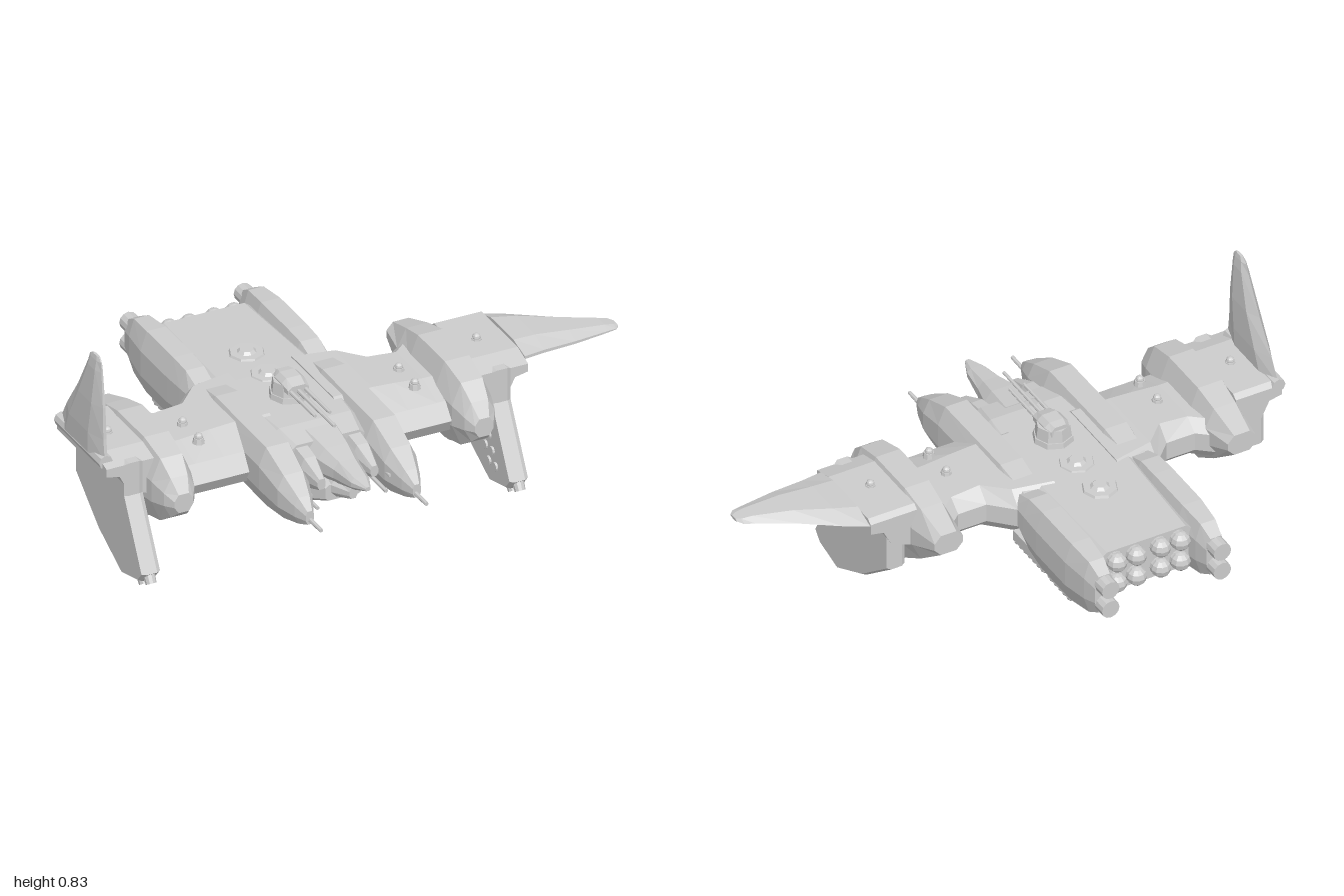
import * as THREE from 'three';

const CX = -0.185; // hull centre line; the two outer wings are posed differently

const grey = new THREE.MeshStandardMaterial({ color: 0xcccccc, flatShading: true });
grey.name = 'hull grey';

const V = (x, y, z) => new THREE.Vector3(x, y, z);

// Closed solid through equal-length rings, with end caps, oriented outward
function loft(rings) {
  const tris = [];
  const n = rings[0].length;
  for (let i = 0; i < rings.length - 1; i++) {
    for (let j = 0; j < n; j++) {
      const k = (j + 1) % n;
      const a = rings[i][j], b = rings[i][k], c = rings[i + 1][k], d = rings[i + 1][j];
      tris.push([a, b, c], [a, c, d]);
    }
  }
  const first = rings[0], last = rings[rings.length - 1];
  for (let j = 1; j < n - 1; j++) {
    tris.push([first[0], first[j + 1], first[j]], [last[0], last[j], last[j + 1]]);
  }
  let volume = 0;
  for (const [a, b, c] of tris) volume += a.dot(b.clone().cross(c));
  const pos = [];
  for (const [a, b, c] of tris) for (const p of volume < 0 ? [a, c, b] : [a, b, c]) pos.push(p.x, p.y, p.z);
  const g = new THREE.BufferGeometry();
  g.setAttribute('position', new THREE.Float32BufferAttribute(pos, 3));
  g.computeVertexNormals();
  return g;
}

// Chamfered box section: [z, bottom, top, halfWidth]
function pod(u, sections, cut = 0.4) {
  return loft(sections.map(([z, y0, y1, w]) => {
    const a = w * (1 - cut), h = (y1 - y0) * cut * 0.75;
    return [[a, y0], [w, y0 + h], [w, y1 - h], [a, y1], [-a, y1], [-w, y1 - h], [-w, y0 + h], [-a, y0]]
      .map(([x, y]) => V(u + x, y, z));
  }));
}

// Section in the z-y plane placed at span u
const rib = (u, pts) => pts.map(([z, y]) => V(u, y, z));

function rod(r0, r1, from, to, sides = 10) {
  const d = to.clone().sub(from);
  const g = new THREE.CylinderGeometry(r1, r0, d.length(), sides);
  g.applyQuaternion(new THREE.Quaternion().setFromUnitVectors(V(0, 1, 0), d.clone().normalize()));
  const m = from.clone().add(to).multiplyScalar(0.5);
  return g.translate(m.x, m.y, m.z);
}

const ball = (r, x, y, z) => new THREE.SphereGeometry(r, 10, 6).translate(x, y, z);
const box = (w, h, d, x, y, z) => new THREE.BoxGeometry(w, h, d).translate(x, y, z);

// Reflected copy with corner order restored
function mirror(geo) {
  const g = geo.index ? geo.toNonIndexed() : geo.clone();
  g.scale(-1, 1, 1);
  const p = g.attributes.position;
  for (let i = 0; i < p.count; i += 3) {
    const b = V().fromBufferAttribute(p, i + 1), c = V().fromBufferAttribute(p, i + 2);
    p.setXYZ(i + 1, c.x, c.y, c.z);
    p.setXYZ(i + 2, b.x, b.y, b.z);
  }
  g.computeVertexNormals();
  return g;
}

// Swept wing sections: [span, rear z, front z, thickness]
const FIN = [[0, -0.09, 0.25, 0.055], [0.08, -0.045, 0.24, 0.058], [0.2, 0.04, 0.235, 0.05],
  [0.33, 0.115, 0.22, 0.03], [0.365, 0.13, 0.215, 0.018], [0.38, 0.155, 0.2, 0.01]];
function fin(place) {
  return loft(FIN.map(([s, z0, z1, t]) => {
    const d = z1 - z0;
    return [[0, 0], [0.25, 0.5], [0.75, 0.5], [1, 0.1], [1, -0.1], [0.75, -0.5], [0.25, -0.5]]
      .map(([f, h]) => place(s, h * t, z0 + f * d));
  }));
}

export function createModel() {
  const model = new THREE.Group();
  const ship = new THREE.Group();
  ship.name = 'ship';
  ship.position.x = CX;
  model.add(ship);

  const add = (name, geo) => {
    const m = new THREE.Mesh(geo, grey);
    m.name = name;
    ship.add(m);
  };
  const pair = (name, geo) => {
    add(name + 'Left', geo);
    add(name + 'Right', mirror(geo));
  };

  // Central hull, belly and nose
  add('mainHull', pod(0, [[-0.57, 0.24, 0.41, 0.18], [-0.1, 0.24, 0.42, 0.2], [0.26, 0.24, 0.42, 0.16],
    [0.36, 0.25, 0.4, 0.14]], 0.15));
  add('bellyPlate', pod(0, [[-0.06, 0.23, 0.3, 0.1], [0, 0.21, 0.3, 0.12], [0.4, 0.2, 0.3, 0.11], [0.48, 0.23, 0.29, 0.07]], 0.2));
  add('cockpit', pod(0, [[0.3, 0.26, 0.415, 0.09], [0.42, 0.28, 0.4, 0.07], [0.5, 0.3, 0.385, 0.05],
    [0.6, 0.325, 0.37, 0.035], [0.66, 0.345, 0.36, 0.01]]));
  add('chin', pod(0, [[0.35, 0.21, 0.3, 0.06], [0.48, 0.24, 0.31, 0.05], [0.55, 0.26, 0.3, 0.015]]));
  pair('noseProng', pod(0.1, [[0.3, 0.26, 0.4, 0.04], [0.42, 0.27, 0.38, 0.035], [0.51, 0.3, 0.34, 0.015]]));
  pair('noseGun', rod(0.007, 0.007, V(0.13, 0.25, 0.4), V(0.13, 0.25, 0.54), 8));
  for (const z of [0.08, 0.26]) {
    add('bellyDomeRim', rod(0.055, 0.05, V(0, 0.22, z), V(0, 0.195, z), 10));
    add('bellyDome', rod(0.035, 0.02, V(0, 0.2, z), V(0, 0.182, z), 10));
  }

  // Dorsal turret and round hatches
  add('turretBase', rod(0.075, 0.07, V(0, 0.41, 0.07), V(0, 0.44, 0.07), 8));
  add('turretHead', rod(0.067, 0.06, V(0, 0.43, 0.07), V(0, 0.485, 0.07), 8));
  add('turretCap', pod(0, [[0.02, 0.45, 0.5, 0.035], [0.05, 0.45, 0.505, 0.045], [0.1, 0.45, 0.505, 0.045], [0.14, 0.45, 0.49, 0.04]]));
  for (const x of [-0.028, 0, 0.028]) add('turretBarrel', rod(0.008, 0.006, V(x, 0.47, 0.1), V(x, 0.47, x ? 0.32 : 0.41), 8));
  for (const z of [-0.09, -0.25]) {
    add('hatchRim', rod(0.07, 0.06, V(0, 0.405, z), V(0, 0.425, z), 8));
    add('hatchCap', rod(0.035, 0.025, V(0, 0.425, z), V(0, 0.435, z), 8));
  }

  // Main engine cluster
  for (const y of [0.285, 0.37]) {
    for (const x of [-0.123, -0.047, 0.047, 0.123]) {
      add('engineCollar', rod(0.034, 0.034, V(x, y, -0.56), V(x, y, -0.59), 12));
      add('engineBell', ball(0.036, x, y, -0.587));
    }
  }

  // Long nacelles beside the hull
  pair('rearNacelle', pod(0.217, [[-0.14, 0.28, 0.41, 0.055], [-0.21, 0.22, 0.435, 0.058], [-0.3, 0.2, 0.44, 0.06],
    [-0.5, 0.2, 0.44, 0.06], [-0.61, 0.22, 0.43, 0.048], [-0.665, 0.25, 0.4, 0.036]]));
  for (const y of [0.285, 0.365]) {
    pair('nacelleThruster', rod(0.035, 0.034, V(0.217, y, -0.63), V(0.217, y, -0.71), 12));
  }
  pair('frontNacelle', pod(0.203, [[-0.16, 0.28, 0.41, 0.055], [0, 0.22, 0.44, 0.07], [0.38, 0.21, 0.435, 0.07],
    [0.5, 0.22, 0.385, 0.06], [0.58, 0.235, 0.335, 0.035], [0.625, 0.25, 0.3, 0.015]]));
  pair('nacelleGun', rod(0.009, 0.007, V(0.2, 0.265, 0.58), V(0.2, 0.265, 0.705), 8));
  pair('nacelleSideGun', rod(0.006, 0.006, V(0.15, 0.3, 0.42), V(0.15, 0.3, 0.53), 8));

  // Inner wings
  const arm = (u, back, top) => rib(u, [[back, 0.37], [back + 0.05, top], [0.16, top], [0.27, 0.37], [0.31, 0.31],
    [0.28, 0.26], [back + 0.04, 0.26], [back, 0.3]]);
  pair('innerWing', loft([arm(0.12, -0.2, 0.425), arm(0.27, -0.17, 0.425), arm(0.35, -0.09, 0.42), arm(0.46, -0.09, 0.41), arm(0.52, -0.14, 0.41)]));
  for (const [x, y, z] of [[0.41, 0.405, 0.08], [0.41, 0.405, 0.2], [0.7, 0.45, 0.09]]) {
    pair('wingKnobBase', rod(0.022, 0.018, V(x, y, z), V(x, y + 0.02, z), 8));
    pair('wingKnob', ball(0.015, x, y + 0.023, z));
  }

  // Outer pods and the hinge blocks beyond them
  pair('outerPod', pod(0.57, [[-0.22, 0.335, 0.415, 0.055], [-0.1, 0.245, 0.455, 0.075], [0, 0.185, 0.48, 0.085],
    [0.2, 0.185, 0.48, 0.085], [0.31, 0.21, 0.45, 0.075], [0.37, 0.25, 0.4, 0.058], [0.405, 0.28, 0.35, 0.035]], 0.45));
  const hinge = (u, low) => rib(u, [[-0.09, low], [-0.09, 0.45], [-0.07, 0.465], [0.2, 0.465], [0.28, 0.44], [0.28, low]]);
  pair('hingeBlock', loft([hinge(0.62, 0.3), hinge(0.72, 0.34), hinge(0.75, 0.4), hinge(0.8, 0.41)]));

  // Downward wing panels with landing thrusters
  const shape = new THREE.Shape([[0.28, 0.44], [0.28, 0.32], [0.41, 0.08], [0.38, 0.045], [0.26, 0.015], [0.09, 0.1],
    [-0.08, 0.235], [-0.08, 0.44]].map(([z, y]) => new THREE.Vector2(z, y)).reverse());
  const panel = new THREE.ExtrudeGeometry(shape, { depth: 0.04, bevelThickness: 0.015, bevelSize: 0.008, bevelSegments: 1 });
  panel.rotateY(-Math.PI / 2).translate(0.718, 0, 0);
  pair('lowerPanel', panel);
  for (const [y, z] of [[0.075, 0.395], [0.05, 0.345]]) {
    pair('panelThruster', rod(0.022, 0.019, V(0.7, y, z), V(0.7, y - 0.035, z + 0.022), 10));
  }
  for (let i = 0; i < 4; i++) {
    for (const dz of [0, 0.05]) {
      const y = 0.09 + i * 0.05, z = 0.31 - i * 0.025 - dz;
      pair('panelStud', rod(0.016, 0.016, V(0.67, y, z), V(0.655, y, z), 10));
    }
  }

  // Outer wings: left one spread flat, right one folded upright
  add('outerWingLeft', fin((s, t, z) => V(0.802 + s, 0.447 + t, z)));
  add('outerWingRight', fin((s, t, z) => V(-0.786 + t, 0.455 + s, z)));
  add('foldedHinge', rod(0.026, 0.026, V(-0.787, 0.45, -0.09), V(-0.787, 0.45, 0.25), 8));

  // Rows of ventral ordnance under nacelles and pods
  const rack = (u, w, y, z0, count) => {
    pair('rackPlate', box(w, 0.04, count * 0.03, u, y + 0.02, z0 - (count - 1) * 0.015));
    for (let i = 0; i < count; i++) {
      for (const x of [-0.35, 0, 0.35]) pair('rackBall', ball(0.015, u + x * w, y, z0 - i * 0.03));
    }
  };
  rack(0.2, 0.09, 0.18, -0.1, 7);
  rack(0.2, 0.09, 0.18, -0.34, 5);
  rack(0.58, 0.1, 0.185, 0.2, 7);
  rack(0.18, 0.08, 0.2, 0.3, 7);

  return model;
}
